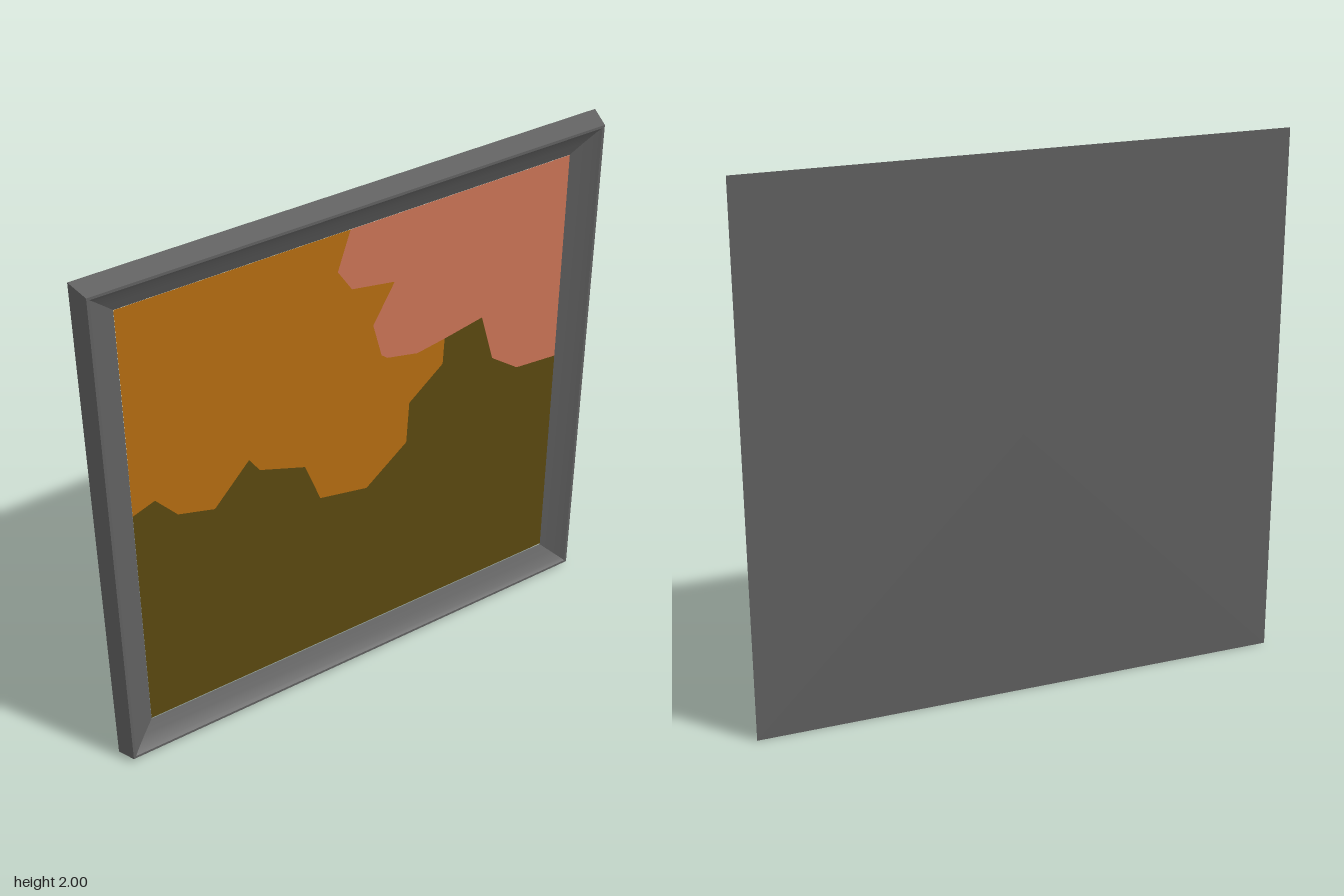
import * as THREE from 'three';
import { toCreasedNormals } from 'three/addons/utils/BufferGeometryUtils.js';

const material = (name, color, side = THREE.FrontSide) => {
  const m = new THREE.MeshStandardMaterial({ color, side });
  m.name = name;
  return m;
};

export function createModel() {
  const group = new THREE.Group();
  group.name = 'framedPicture';

  // Frame and back panel: a square-section loft of [half width, depth]
  const profile = [
    [0, -0.04], [1, -0.04], [0.98, 0.04], [0.97, 0.04],
    [0.955, 0.03], [0.915, 0.01], [0.875, -0.008],
  ].map(([r, z]) => new THREE.Vector2(r * Math.SQRT2, z));
  const frameGeometry = new THREE.LatheGeometry(profile, 4, Math.PI / 4);
  frameGeometry.rotateX(Math.PI / 2);
  const frame = new THREE.Mesh(toCreasedNormals(frameGeometry, 0.45), material('frameGrey', 0x606060));
  frame.name = 'frame';
  frame.position.y = 1;
  group.add(frame);

  // Picture edges
  const L = -0.875, R = 0.875, B = 0.13, T = 1.875;

  // Borders between the colour patches, all meeting at one junction
  const junction = [0.37, 1.305];
  const lowerLeft = [
    [L, 1.065], [-0.79, 1.095], [-0.71, 1.0], [-0.57, 0.96], [-0.43, 1.11], [-0.39, 1.05],
    [-0.21, 0.985], [-0.15, 0.82], [0.045, 0.78], [0.215, 0.915], [0.225, 1.085], [0.365, 1.2],
  ];
  const lowerRight = [[0.53, 1.335], [0.585, 1.14], [0.7, 1.055], [R, 1.04]];
  const upper = [
    [-0.02, T], [-0.07, 1.73], [-0.015, 1.645], [0.155, 1.615], [0.07, 1.47],
    [0.105, 1.335], [0.13, 1.315], [0.255, 1.287],
  ];

  const addPatch = (name, points, mat) => {
    const shape = new THREE.Shape(points.map(([x, y]) => new THREE.Vector2(x, y)));
    const mesh = new THREE.Mesh(new THREE.ShapeGeometry(shape), mat);
    mesh.name = name;
    mesh.position.z = -0.007;
    group.add(mesh);
  };

  // Flat painted patches
  addPatch('lowerPatch', [[L, B], [R, B], ...[...lowerLeft, junction, ...lowerRight].reverse()],
    material('olive', 0x5a4810, THREE.DoubleSide));
  addPatch('leftPatch', [...lowerLeft, junction, ...[...upper].reverse(), [L, T]],
    material('orange', 0xb46c11, THREE.DoubleSide));
  addPatch('rightPatch', [...upper, junction, ...lowerRight, [R, T]],
    material('salmon', 0xca7456, THREE.DoubleSide));

  return group;
}
